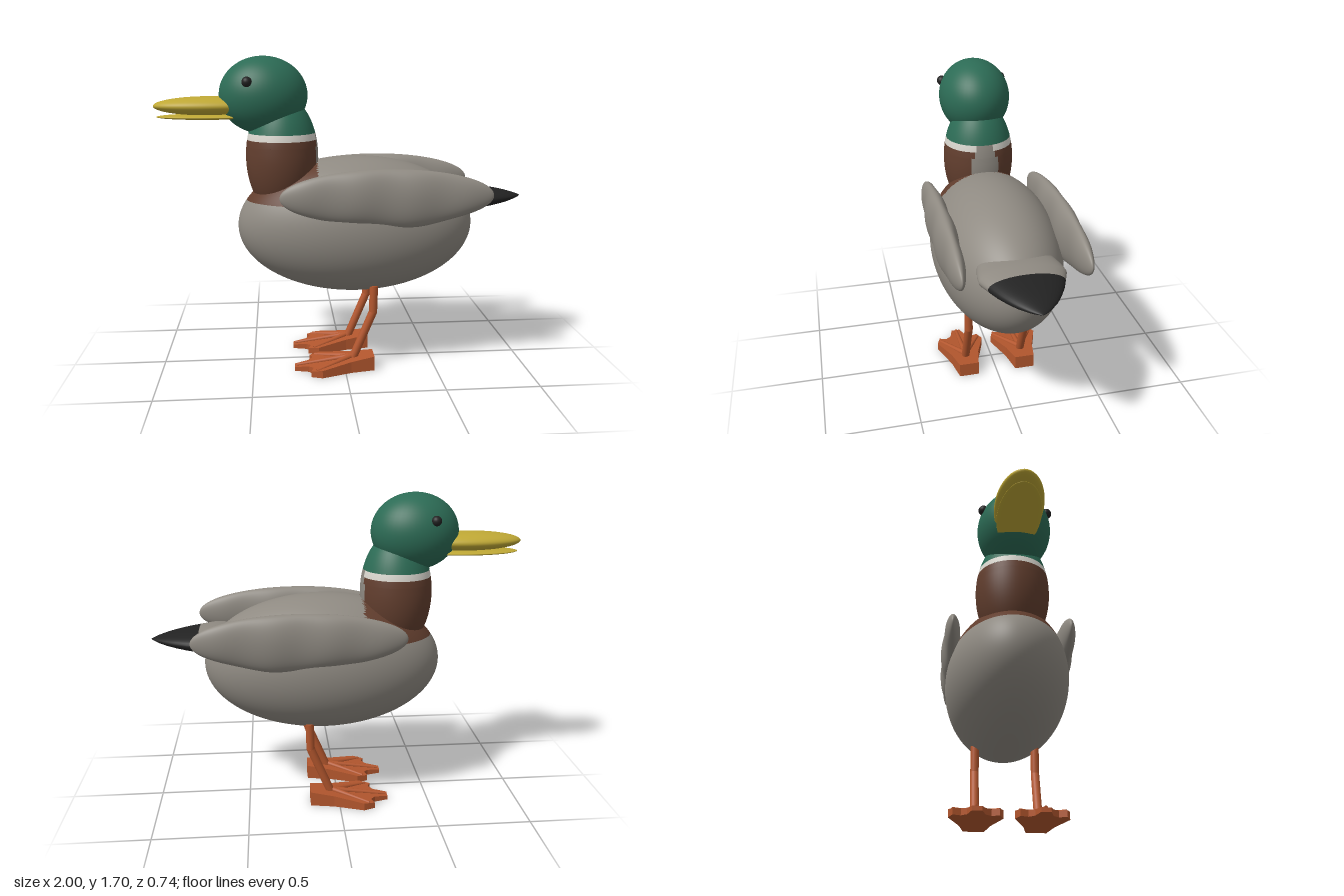
import * as THREE from 'three';

const mat = (name, color, side = THREE.FrontSide) => {
  const m = new THREE.MeshStandardMaterial({ color, side });
  m.name = name;
  return m;
};

export function createModel() {
  const grey = mat('greyFeathers', 0x8f8a82, THREE.DoubleSide);
  const brown = mat('brownBreast', 0x623e2e, THREE.DoubleSide);
  const green = mat('greenHead', 0x2c6b55, THREE.DoubleSide);
  const white = mat('whiteCollar', 0xd8d5cd, THREE.DoubleSide);
  const yellow = mat('yellowBill', 0xbfa835);
  const orange = mat('orangeLegs', 0xb4572e);
  const black = mat('black', 0x222222, THREE.DoubleSide);

  const duck = new THREE.Group();
  duck.name = 'duck';
  const add = (name, geo, material, parent = duck) => {
    const mesh = new THREE.Mesh(geo, material);
    mesh.name = name;
    parent.add(mesh);
    return mesh;
  };
  const ellipsoid = (x, y, z, rx, ry, rz, w = 48, h = 32) =>
    new THREE.SphereGeometry(1, w, h).scale(rx, ry, rz).translate(x, y, z);

  // Body: grey ellipsoid whose upper front faces are brown
  const body = ellipsoid(0.075, 0.785, 0, 0.645, 0.375, 0.34, 112, 80);
  const pos = body.attributes.position, idx = body.index.array;
  const sorted = [[], []];
  for (let i = 0; i < idx.length; i += 3) {
    const t = [idx[i], idx[i + 1], idx[i + 2]];
    const x = t.reduce((s, v) => s + pos.getX(v) / 3, 0);
    const y = t.reduce((s, v) => s + pos.getY(v) / 3, 0);
    sorted[y > 0.93 && x < -0.14 ? 1 : 0].push(...t);
  }
  body.setIndex([...sorted[0], ...sorted[1]]);
  body.addGroup(0, sorted[0].length, 0);
  body.addGroup(sorted[0].length, sorted[1].length, 1);
  add('body', body, [grey, brown]);

  // Neck: bands of one ellipsoid, with a grey strip of given half angle at the back
  const neckBand = (name, y0, y1, material, gap) => {
    const pts = [];
    for (let i = 0; i <= 10; i++) {
      const y = y0 + (y1 - y0) * i / 10;
      pts.push(new THREE.Vector2(0.195 * Math.sqrt(Math.max(0, 1 - ((y - 1.16) / 0.33) ** 2)), y));
    }
    const back = Math.PI / 2;
    const front = new THREE.LatheGeometry(pts, 48, back + gap, Math.PI * 2 - gap * 2);
    add(name, front.translate(-0.325, 0, 0), material);
    if (gap) {
      const strip = new THREE.LatheGeometry(pts, 10, back - gap, gap * 2);
      add(name + 'BackStrip', strip.translate(-0.325, 0, 0), grey);
    }
  };
  neckBand('lowerNeck', 0.86, 1.22, brown, 0.4);
  neckBand('middleNeck', 1.22, 1.255, brown, 0.3);
  neckBand('collar', 1.255, 1.29, white, 0.25);
  neckBand('upperNeck', 1.29, 1.49, green, 0);

  // Head, bill and eyes
  add('head', ellipsoid(-0.42, 1.49, 0, 0.235, 0.205, 0.195), green);
  add('upperBill', ellipsoid(-0.71, 1.435, 0, 0.29, 0.05, 0.125), yellow);
  add('lowerBill', ellipsoid(-0.71, 1.378, 0, 0.275, 0.015, 0.112), yellow);
  for (const s of [1, -1]) {
    add(s > 0 ? 'leftEye' : 'rightEye', ellipsoid(-0.5, 1.565, s * 0.168, 0.027, 0.027, 0.027, 20, 14), black);
  }

  // Tail: flattened turned profile along x, grey base and black tip
  const tail = (name, profile, material) => {
    const pts = profile.map(([x, r]) => new THREE.Vector2(r, x));
    const geo = new THREE.LatheGeometry(pts, 40);
    geo.rotateZ(-Math.PI / 2).scale(1, 0.31, 1).translate(0, 0.928, 0);
    add(name, geo, material);
  };
  tail('tailBase', [[0.42, 0.17], [0.55, 0.2], [0.62, 0.214], [0.67, 0.216], [0.74, 0.188]], grey);
  tail('tailTip', [[0.74, 0.188], [0.8, 0.163], [0.86, 0.13], [0.91, 0.097], [0.96, 0.053], [0.985, 0.024], [1, 0]], black);

  // Wings: long flat ellipsoids with rippled sides and a slightly wavy lower edge
  const wing = (s) => {
    const geo = new THREE.SphereGeometry(1, 48, 64).rotateZ(Math.PI / 2);
    const p = geo.attributes.position;
    for (let i = 0; i < p.count; i++) {
      const x = 0.21 + 0.555 * p.getX(i);
      const ripple = Math.cos((x - 0.05) * Math.PI * 2 / 0.3);
      const y = p.getY(i), low = Math.max(0, -y);
      const droop = 0.02 * Math.exp(-(((x - 0.36) / 0.15) ** 2));
      p.setXYZ(i, x, 0.985 + 0.145 * y - low * droop, s * 0.31 + p.getZ(i) * 0.058 * (1 + 0.08 * ripple));
    }
    geo.computeVertexNormals();
    return geo;
  };

  // Legs and webbed feet
  const rod = (a, b, r0, r1) => {
    const d = new THREE.Vector3().subVectors(b, a);
    const geo = new THREE.CylinderGeometry(r1, r0, d.length(), 16);
    geo.applyQuaternion(new THREE.Quaternion().setFromUnitVectors(new THREE.Vector3(0, 1, 0), d.clone().normalize()));
    return geo.translate((a.x + b.x) / 2, (a.y + b.y) / 2, (a.z + b.z) / 2);
  };
  const V = (x, y, z) => new THREE.Vector3(x, y, z);
  const outline = [[0.16, 0.055], [0.03, 0.08], [-0.13, 0.137], [-0.19, 0.115], [-0.175, 0.075], [-0.2, 0.045], [-0.275, 0.025]];
  const webShape = new THREE.Shape([...outline, ...outline.map(([x, z]) => [x, -z]).reverse()]
    .map(([x, z]) => new THREE.Vector2(x, z)));
  const web = () => {
    const geo = new THREE.ExtrudeGeometry(webShape, { depth: 1, bevelEnabled: false });
    geo.rotateX(-Math.PI / 2);
    const p = geo.attributes.position;
    // Wedge: tall at the heel, thin at the toes
    for (let i = 0; i < p.count; i++) {
      if (p.getY(i) > 0.5) p.setY(i, 0.022 + (p.getX(i) + 0.275) * 0.133);
    }
    geo.computeVertexNormals();
    return geo;
  };

  for (const s of [1, -1]) {
    const side = s > 0 ? 'left' : 'right';
    add(side + 'Wing', wing(s), grey);
    const leg = new THREE.Group();
    leg.name = side + 'Leg';
    leg.position.z = s * 0.165;
    duck.add(leg);
    add('thigh', rod(V(0.16, 0.47, 0), V(0.156, 0.32, 0), 0.023, 0.023), orange, leg);
    add('knee', ellipsoid(0.156, 0.32, 0, 0.023, 0.023, 0.023, 16, 12), orange, leg);
    add('shin', rod(V(0.156, 0.32, 0), V(0.045, 0.055, 0), 0.023, 0.023), orange, leg);
    add('foot', web(), orange, leg);
    for (const [x, z] of [[-0.265, 0], [-0.16, 0.115], [-0.16, -0.115]]) {
      add('toe', rod(V(0.04, 0.068, 0), V(x, 0.024 + (x + 0.275) * 0.1, z), 0.016, 0.009), orange, leg);
    }
  }

  return duck;
}
